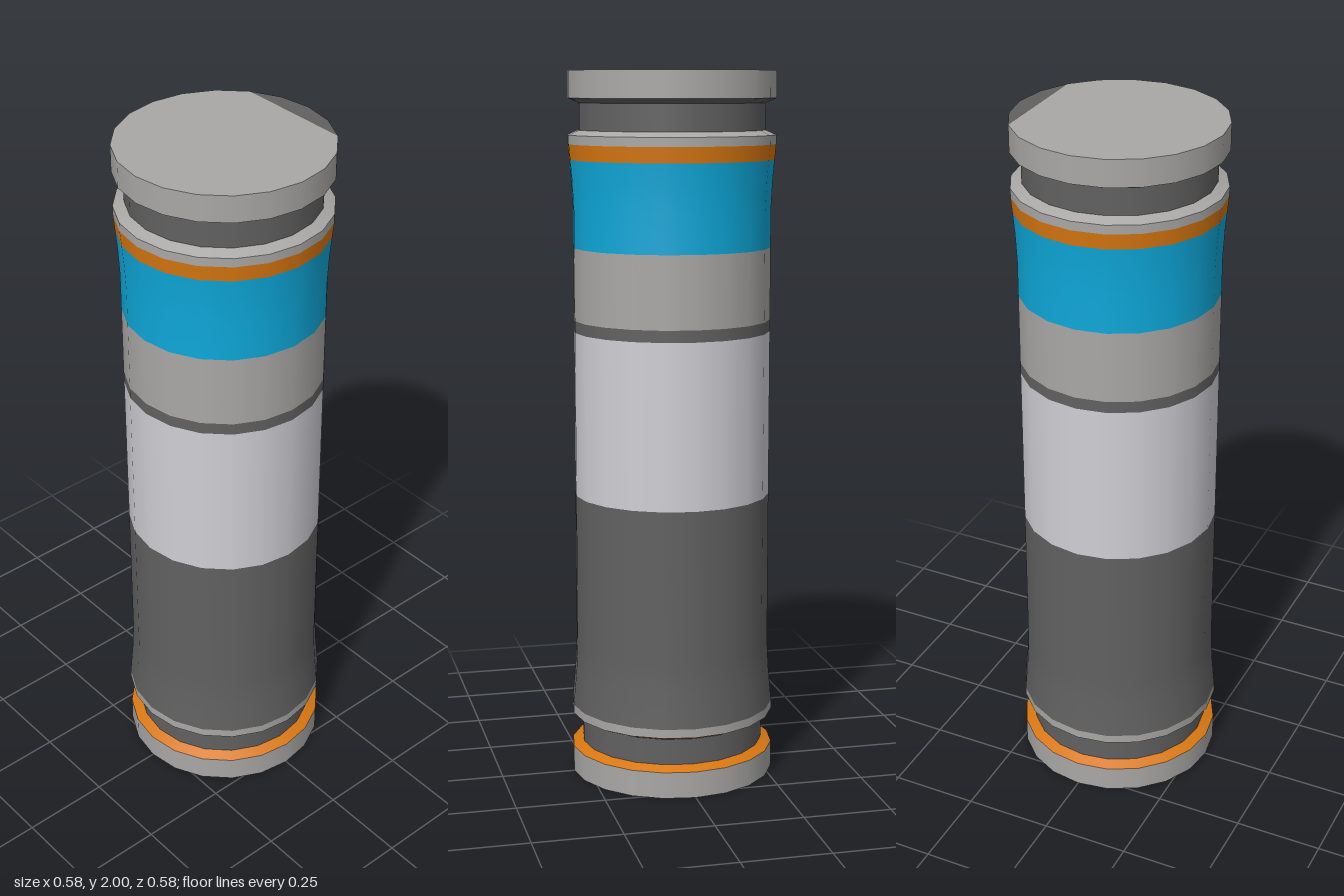
import * as THREE from 'three';

const SIDES = 20;
const R = 0.29, NECK = 0.26, BODY = 0.277;

function material(name, color) {
  const m = new THREE.MeshStandardMaterial({ color });
  m.name = name;
  return m;
}

export function createModel() {
  const light = material('light grey', 0xa9a8a6);
  const dark = material('dark grey', 0x616161);
  const white = material('pale grey', 0xcfcfd5);
  const blue = material('blue', 0x0ea8da);
  const orange = material('orange', 0xd87710);

  const group = new THREE.Group();
  group.name = 'canister';

  const add = (name, geometry, mat) => {
    const mesh = new THREE.Mesh(geometry, mat);
    mesh.name = name;
    group.add(mesh);
  };

  // Open turned band; profile runs bottom to top as [radius, height]
  const band = (name, mat, ...profile) => add(name,
    new THREE.LatheGeometry(profile.map(([r, y]) => new THREE.Vector2(r, y)), SIDES), mat);

  // Part of an end face, cut along the chord between two rim corners
  const capPart = (name, mat, first, count, y, up) => {
    const points = [];
    for (let i = 0; i <= count; i++) {
      const a = (first + i) * 2 * Math.PI / SIDES;
      points.push(new THREE.Vector2(Math.cos(a) * R, Math.sin(a) * R));
    }
    const g = new THREE.ShapeGeometry(new THREE.Shape(points));
    g.rotateX(up ? -Math.PI / 2 : Math.PI / 2);
    g.translate(0, y, 0);
    add(name, g, mat);
  };

  // Bottom end disc, neck and lip
  capPart('bottomFaceLeft', light, -5, 10, 0, false);
  capPart('bottomFaceRight', dark, 5, 10, 0, false);
  band('bottomDisc', light, [R, 0], [R, 0.075]);
  band('bottomDiscShoulder', orange, [R, 0.075], [NECK, 0.088]);
  band('bottomNeck', dark, [NECK, 0.088], [NECK, 0.162]);
  band('bottomLipUnderside', orange, [NECK, 0.162], [R, 0.175]);
  band('bottomLip', light, [R, 0.175], [R, 0.2]);

  // Body with slightly flared ends
  band('lowerBody', dark, [R, 0.2], [0.281, 0.3], [BODY, 0.38], [BODY, 0.815]);
  band('middleBody', white, [BODY, 0.815], [BODY, 1.28]);
  band('darkStripe', dark, [BODY, 1.28], [BODY, 1.313]);
  band('upperBody', light, [BODY, 1.313], [BODY, 1.515]);
  band('blueBand', blue, [BODY, 1.515], [BODY, 1.62], [0.281, 1.7], [0.286, 1.757]);
  band('orangeStripe', orange, [0.286, 1.757], [R, 1.8]);

  // Top lip, neck and end disc
  band('topLip', light, [R, 1.8], [R, 1.825]);
  band('topLipShoulder', light, [R, 1.825], [NECK, 1.838]);
  band('topNeck', dark, [NECK, 1.838], [NECK, 1.912]);
  band('topDiscUnderside', dark, [NECK, 1.912], [R, 1.925]);
  band('topDisc', light, [R, 1.925], [R, 2]);
  capPart('topFace', light, 7, 16, 2, true);
  capPart('topFaceBackSegment', dark, 3, 4, 2, true);

  return group;
}
